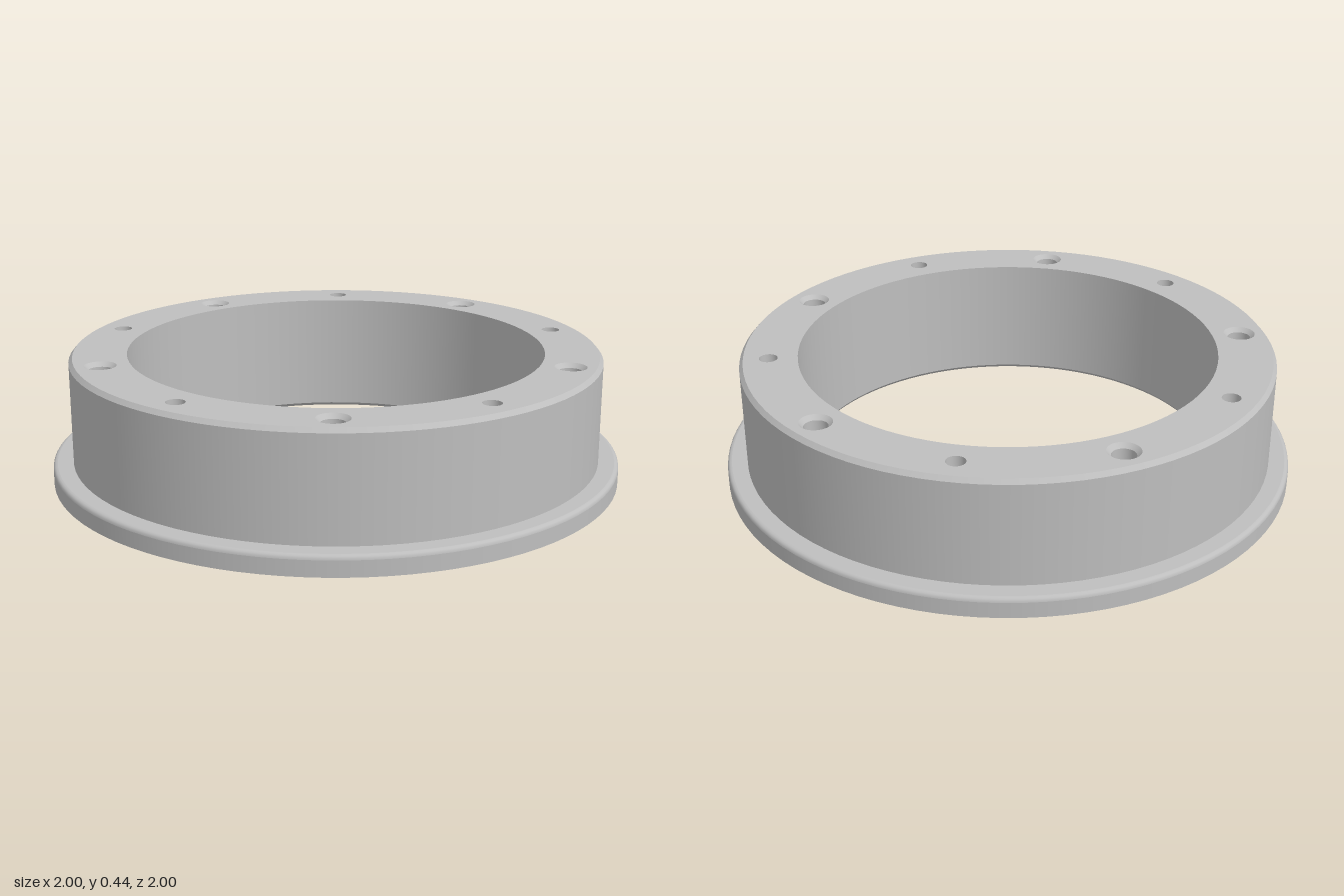
import * as THREE from 'three';

const SEG = 96;
const TOP = 0.44, FLANGE = 0.07, BORE = 0.73, PITCH = 0.83;

export function createModel() {
  const group = new THREE.Group();
  const grey = new THREE.MeshStandardMaterial({ color: 0xbebebe });

  const add = (parent, name, geometry) => {
    const mesh = new THREE.Mesh(geometry, grey);
    mesh.name = name;
    parent.add(mesh);
    return mesh;
  };
  const band = (parent, name, points, seg = SEG) =>
    add(parent, name, new THREE.LatheGeometry(points.map(p => new THREE.Vector2(...p)), seg));

  // Five positions on the pitch circle, starting at the back (or the front when shifted by half a step)
  const positions = shift => Array.from({ length: 5 }, (_, i) => {
    const t = (i + shift) * Math.PI * 2 / 5;
    return [PITCH * Math.sin(t), -PITCH * Math.cos(t)];
  });
  const large = positions(0), small = positions(0.5);

  // Flat ring pierced by holes; side is 1 for the top face, -1 for the underside
  const face = (name, inner, outer, y, side, holes) => {
    const shape = new THREE.Shape().absarc(0, 0, outer, 0, Math.PI * 2);
    for (const [x, z, r] of [[0, 0, inner], ...holes])
      shape.holes.push(new THREE.Path().absarc(x, -side * z, r, 0, Math.PI * 2, true));
    const g = new THREE.ShapeGeometry(shape, SEG / 2);
    g.rotateX(-side * Math.PI / 2);
    add(group, name, g).position.y = y;
  };

  // Outer flange with a rounded upper edge
  band(group, 'flangeRim', [[1, 0], [1, FLANGE - 0.015]]);
  band(group, 'flangeRoundedEdge', [0, 1, 2, 3, 4].map(i => {
    const a = i * Math.PI / 8;
    return [0.985 + 0.015 * Math.cos(a), FLANGE - 0.015 + 0.015 * Math.sin(a)];
  }));
  band(group, 'flangeTop', [[0.985, FLANGE], [0.93, FLANGE]]);

  // Ring body, bevelled at the top outside and the bottom inside
  band(group, 'bodyWall', [[0.93, FLANGE], [0.93, TOP - 0.015]]);
  band(group, 'bodyBevel', [[0.93, TOP - 0.015], [0.917, TOP]]);
  band(group, 'boreWall', [[BORE, TOP], [BORE, 0.012]]);
  band(group, 'boreBevel', [[BORE, 0.012], [BORE + 0.01, 0]]);
  face('topFace', BORE, 0.917, TOP, 1,
    [...large.map(p => [...p, 0.055]), ...small.map(p => [...p, 0.032])]);
  face('bottomFace', BORE + 0.01, 1, 0, -1, large.map(p => [...p, 0.085]));

  // Blind hole with an optional countersink, sunk downward from its rim
  const hole = (name, [x, z], y, rim, radius, depth, flip) => {
    const h = new THREE.Group();
    h.name = name;
    const sink = rim - radius;
    if (sink > 0) band(h, 'countersink', [[rim, 0], [radius, -sink]]);
    band(h, 'holeWall', [[radius, -sink], [radius, -depth]]);
    band(h, 'holeFloor', [[radius, -depth], [0, -depth]]);
    h.position.set(x, y, z);
    if (flip) h.rotation.x = Math.PI;
    group.add(h);
  };
  for (const p of large) {
    hole('topScrewHole', p, TOP, 0.055, 0.04, 0.15, false);
    hole('bottomScrewHole', p, 0, 0.085, 0.07, 0.2, true);
  }
  for (const p of small) hole('pinHole', p, TOP, 0.032, 0.032, 0.12, false);

  return group;
}
